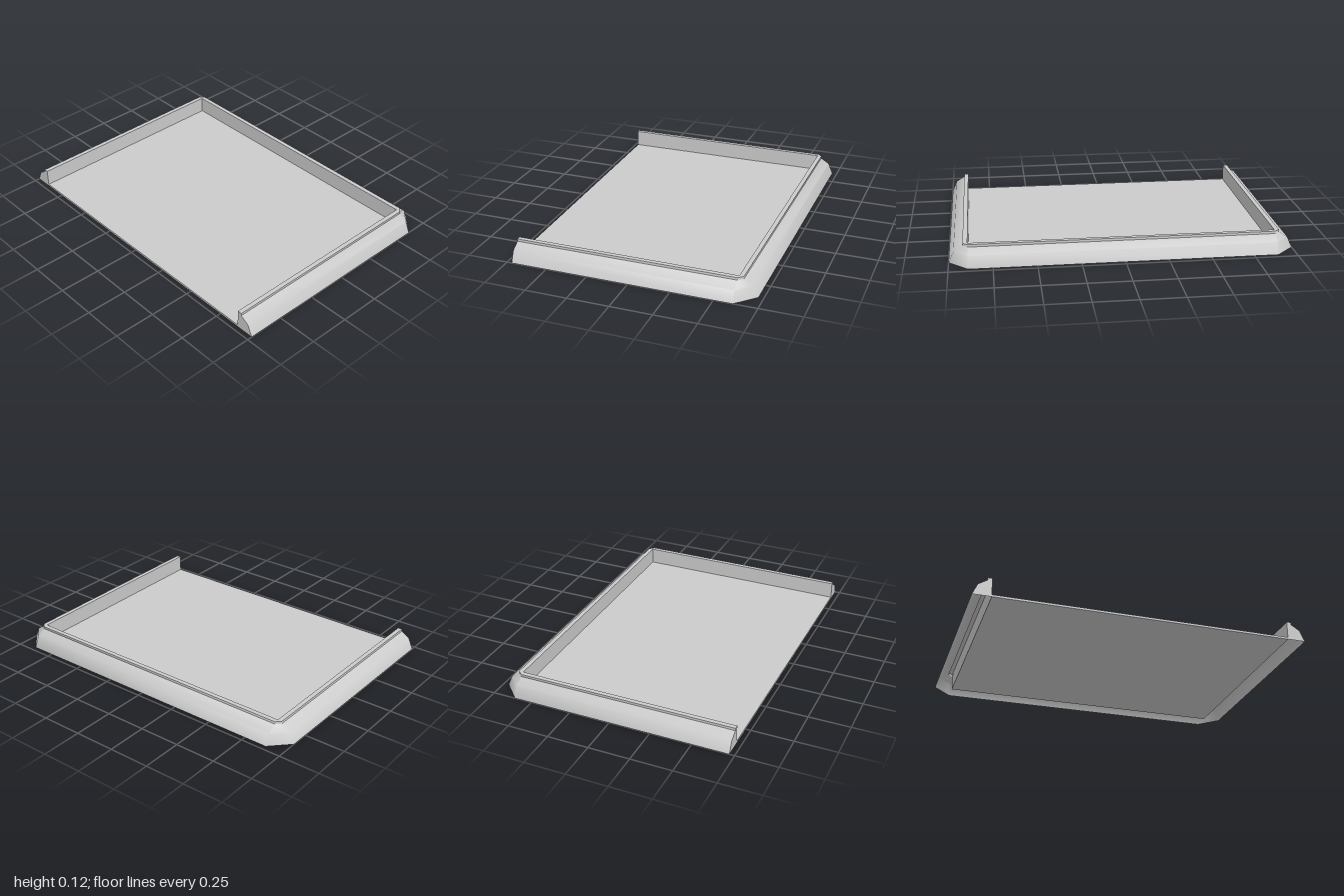
import * as THREE from 'three';
import { toCreasedNormals } from 'three/addons/utils/BufferGeometryUtils.js';

const HALF_W = 0.89, BACK = -0.61, FRONT = 0.72, FLOOR = 0.013;

// Rim cross-section: [distance out from the inner wall, height]
const PROFILE = [[0, FLOOR], [0, 0.115], [0.027, 0.115], [0.027, 0.1], [0.08, 0.067], [0.11, 0]];

// Rim stations: [x, z, outward x, outward z]; repeated points make the chamfered corners
const STATIONS = [
  [HALF_W, FRONT, 1, 0], [HALF_W, BACK, 1, 0], [HALF_W, BACK, 0, -1],
  [-HALF_W, BACK, 0, -1], [-HALF_W, BACK, -1, 0], [-HALF_W, FRONT, -1, 0],
];

function rimGeometry() {
  const rings = STATIONS.map(([x, z, ox, oz]) =>
    PROFILE.map(([d, y]) => new THREE.Vector3(x + ox * d, y, z + oz * d)));
  const positions = [];
  const tri = (a, b, c) => {
    const area = b.clone().sub(a).cross(c.clone().sub(a)).length();
    if (area > 1e-7) for (const p of [a, b, c]) positions.push(p.x, p.y, p.z);
  };
  for (let i = 0; i < rings.length - 1; i++) {
    for (let j = 0; j < PROFILE.length - 1; j++) {
      const a = rings[i][j], b = rings[i + 1][j], c = rings[i + 1][j + 1], d = rings[i][j + 1];
      tri(a, d, c);
      tri(a, c, b);
    }
  }
  const geometry = new THREE.BufferGeometry();
  geometry.setAttribute('position', new THREE.Float32BufferAttribute(positions, 3));
  return toCreasedNormals(geometry, THREE.MathUtils.degToRad(50));
}

export function createModel() {
  const group = new THREE.Group();
  group.name = 'tray';
  const solid = new THREE.MeshStandardMaterial({ color: 0xcccccc });
  const shell = new THREE.MeshStandardMaterial({ color: 0xcccccc, side: THREE.DoubleSide });
  const add = (name, geometry, material) => {
    const mesh = new THREE.Mesh(geometry, material);
    mesh.name = name;
    group.add(mesh);
    return mesh;
  };

  // Thin floor plate, open at the front
  add('floor', new THREE.BoxGeometry(HALF_W * 2, FLOOR, FRONT - BACK), solid)
    .position.set(0, FLOOR / 2, (FRONT + BACK) / 2);

  // Hollow rim round three sides, open underneath
  add('rim', rimGeometry(), shell);

  // Flat caps closing the front ends of the rim
  for (const side of [1, -1]) {
    const outline = [[0, 0], ...PROFILE.slice(1)]
      .map(([d, y]) => new THREE.Vector2(side * (HALF_W + d), y));
    add(side > 0 ? 'leftEndCap' : 'rightEndCap',
      new THREE.ShapeGeometry(new THREE.Shape(outline)), shell).position.z = FRONT;
  }
  return group;
}
